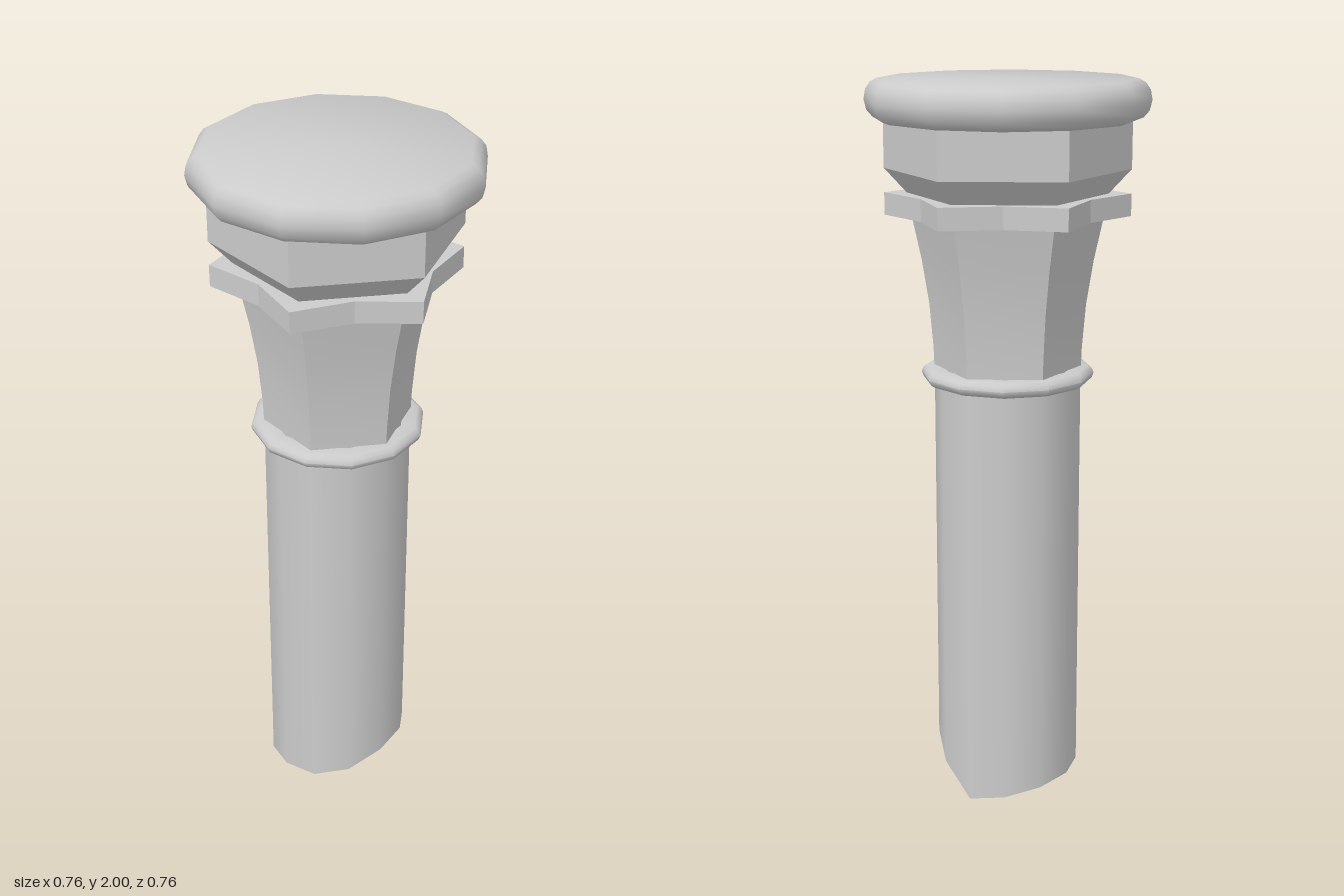
import * as THREE from 'three';
import { toCreasedNormals } from 'three/addons/utils/BufferGeometryUtils.js';

const material = new THREE.MeshStandardMaterial({ color: 0xcccccc });
const doubleSided = new THREE.MeshStandardMaterial({ color: 0xcccccc, side: THREE.DoubleSide });

// Turned profile, listed from bottom to top, with a chosen number of sides
function turned(points, sides, crease) {
  const profile = points.map(([r, y]) => new THREE.Vector2(r, y));
  return toCreasedNormals(new THREE.LatheGeometry(profile, sides), crease);
}

// Height of the broken edge at every 30 degrees, from +z towards +x
const breakHeights = [0.08, 0.11, 0.15, 0.16, 0.13, 0.08, 0, 0.02, 0.04, 0.05, 0.05, 0.07];

function breakHeight(x, z) {
  const step = Math.round(Math.atan2(x, z) / (Math.PI / 6));
  return breakHeights[(step + 12) % 12];
}

export function createModel() {
  const group = new THREE.Group();
  const add = (name, geometry, mat = material) => {
    const mesh = new THREE.Mesh(geometry, mat);
    mesh.name = name;
    group.add(mesh);
  };

  // Round cap slab with a soft rim
  add('cap', turned([
    [0, 1.893], [0.34, 1.893], [0.358, 1.9], [0.373, 1.917], [0.38, 1.945],
    [0.375, 1.972], [0.362, 1.99], [0.345, 2], [0, 2],
  ], 12, 0.7), material);

  // Hexagonal block that tapers inward at its foot
  add('capitalBlock', turned([[0.265, 1.695], [0.33, 1.765], [0.33, 1.9]], 6, 0.4));

  // Six-cornered moulding with slightly hollowed sides
  const star = new THREE.Shape();
  for (let i = 0; i < 12; i++) {
    const r = i % 2 ? 0.255 : 0.33;
    const a = (i * Math.PI) / 6;
    star[i ? 'lineTo' : 'moveTo'](r * Math.sin(-a), r * Math.cos(a));
  }
  star.closePath();
  const moulding = new THREE.ExtrudeGeometry(star, { depth: 0.06, bevelEnabled: false });
  moulding.rotateX(-Math.PI / 2).translate(0, 1.64, 0);
  add('moulding', moulding);

  // Hexagonal neck, flaring upward
  add('neck', turned([
    [0.2, 1.2], [0.203, 1.28], [0.213, 1.4], [0.232, 1.52], [0.26, 1.65],
  ], 6, 0.4));

  // Rounded collar on top of the shaft
  add('collar', turned([
    [0.19, 1.19], [0.22, 1.19], [0.231, 1.197], [0.236, 1.21],
    [0.231, 1.223], [0.22, 1.23], [0.18, 1.23],
  ], 12, 0.8));

  // Shaft, its lower edge moved to the line of the break
  const shaft = new THREE.CylinderGeometry(0.2, 0.2, 1.2, 12, 1, true);
  shaft.translate(0, 0.6, 0);
  const sp = shaft.attributes.position;
  for (let i = 0; i < sp.count; i++) {
    if (sp.getY(i) < 0.1) sp.setY(i, breakHeight(sp.getX(i), sp.getZ(i)));
  }
  add('shaft', shaft, doubleSided);

  // Hollow, uneven underside of the break
  const under = new THREE.RingGeometry(0.0005, 0.2, 12, 2);
  under.rotateX(Math.PI / 2);
  const up = under.attributes.position;
  for (let i = 0; i < up.count; i++) {
    const x = up.getX(i), z = up.getZ(i);
    const t = Math.hypot(x, z) / 0.2;
    const chip = 0.025 * Math.sin(Math.atan2(x, z) * 3) * t * (1 - t) * 4;
    up.setY(i, THREE.MathUtils.lerp(0.13, breakHeight(x, z), t) + chip);
  }
  add('brokenUnderside', toCreasedNormals(under, 0.5), doubleSided);

  return group;
}
